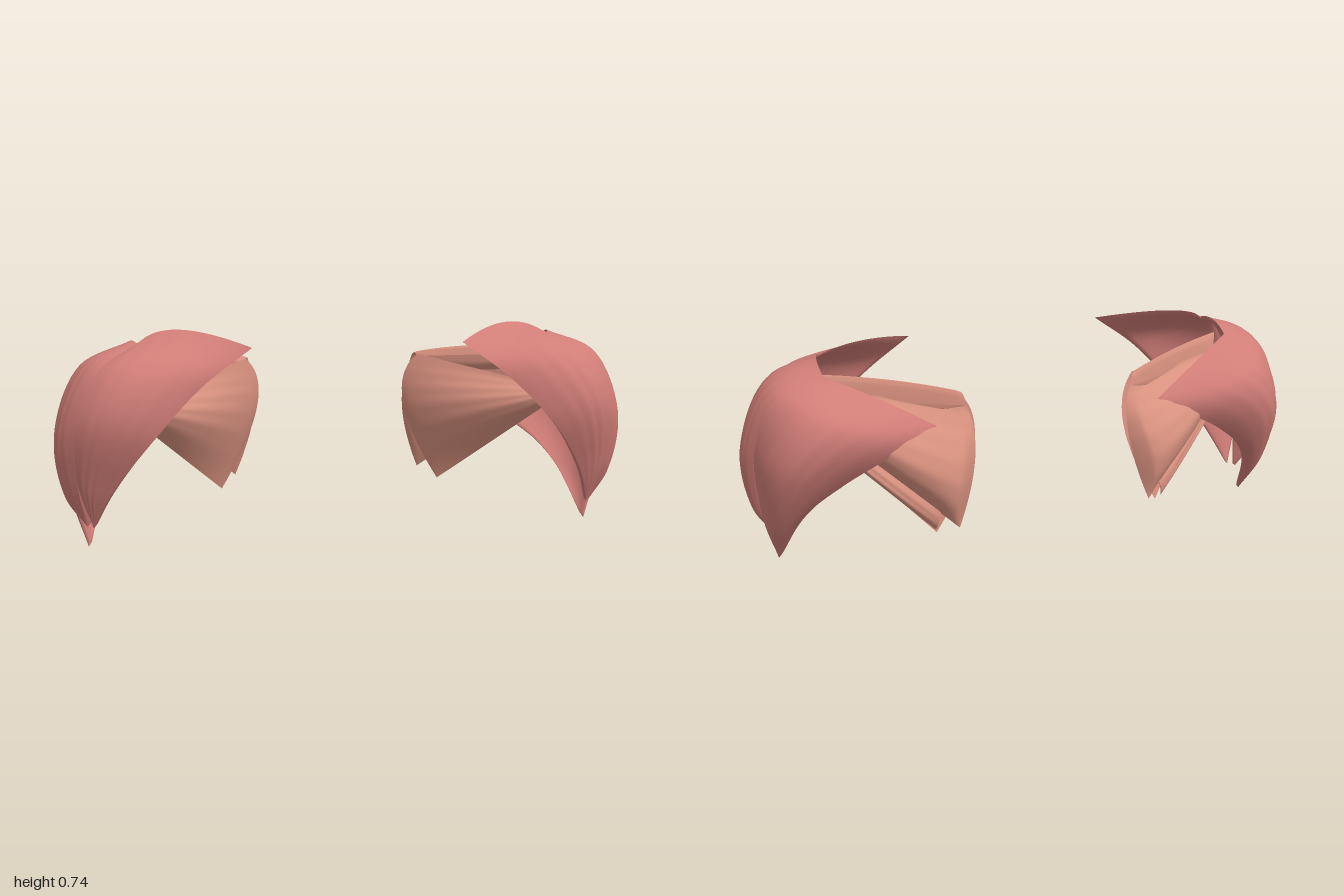
import * as THREE from 'three';

const red = new THREE.MeshStandardMaterial({ color: 0xd07d77, side: THREE.DoubleSide });
const pale = new THREE.MeshStandardMaterial({ color: 0xd8917f, side: THREE.DoubleSide });
const NU = 28, NT = 40;
const vec = (p) => new THREE.Vector3(...p);

// Ridge lines of the shoulder cap, front edge to rear edge; neighbouring heads share a seam.
const ridges = [
  [[.36, .69, .24], [.53, .565, .25], [.69, .4, .27], [.82, .22, .195]],
  [[.58, .737, .07], [.71, .63, .245], [.82, .47, .28], [.89, .23, .185]],
  [[.72, .695, .09], [.85, .625, .175], [.93, .46, .205], [.935, .25, .16]],
  [[.74, .7, .03], [.905, .627, .075], [1, .4, .09], [.975, .19, .09]],
  [[.74, .665, -.06], [.9, .6, -.057], [.97, .42, -.015], [.953, .2, .045]],
  [[.57, .59, -.145], [.75, .54, -.222], [.88, .4, -.19], [.93, .16, -.055]],
  [[.385, .49, -.212], [.56, .415, -.212], [.71, .32, -.165], [.83, .205, -.095]],
];
const capCore = vec([.6, .38, .03]);
const bladeFront = vec([-.5, 0, .85]), bladeBack = vec([.5, 0, -.85]);

// One sheet of vertices, wound so that it faces along "facing".
function sheet(pointAt, facing) {
  const pos = [], idx = [], w = NU + 1;
  for (let i = 0; i <= NT; i++)
    for (let j = 0; j <= NU; j++) pos.push(...pointAt(j / NU, i / NT).toArray());
  const c = pointAt(0.5, 0.5);
  const du = pointAt(0.55, 0.5).sub(c), dt = pointAt(0.5, 0.55).sub(c);
  const keep = du.cross(dt).dot(facing) > 0;
  for (let i = 0; i < NT; i++)
    for (let j = 0; j < NU; j++) {
      const p = i * w + j, q = p + 1, r = p + w, s = r + 1;
      if (keep) idx.push(p, q, r, q, s, r);
      else idx.push(p, r, q, q, r, s);
    }
  const g = new THREE.BufferGeometry();
  g.setAttribute('position', new THREE.Float32BufferAttribute(pos, 3));
  g.setIndex(idx);
  g.computeVertexNormals();
  return g;
}

// A muscle spans three paths: a rippled outer sheet and an inner sheet meet along the rim.
// "skew" moves the fullest point towards the origin (below 1) or the insertion (above 1).
function muscle(name, material, side, paths, outward, { thick, bulge = 0, skew = 1, fibres }) {
  const mirror = (v) => v.setX(v.x * side);
  const out = outward.clone().normalize();
  const belly = (t) => Math.sqrt(Math.max(0, Math.sin(Math.PI * t ** skew)));
  const middle = (u, t) => new THREE.Vector3()
    .addScaledVector(paths[0].getPoint(t), (1 - u) * (1 - 2 * u))
    .addScaledVector(paths[1].getPoint(t), 4 * u * (1 - u))
    .addScaledVector(paths[2].getPoint(t), u * (2 * u - 1));
  const outer = (u, t) => {
    const ripple = 0.0015 * Math.sin(Math.PI * u) * Math.sin(2 * Math.PI * fibres * u + 2 * t);
    return mirror(middle(u, t)
      .addScaledVector(out, belly(t) * (ripple + bulge * 6.75 * u * u * (1 - u))));
  };
  const inner = (u, t) =>
    mirror(middle(u, t).addScaledVector(out, -thick * belly(t) * Math.sqrt(4 * u * (1 - u))));

  const facing = mirror(out.clone());
  const outside = new THREE.Mesh(sheet(outer, facing), material);
  outside.name = 'outerSurface';
  const inside = new THREE.Mesh(sheet(inner, facing.clone().negate()), material);
  inside.name = 'innerSurface';
  const group = new THREE.Group();
  group.name = name;
  return group.add(outside, inside);
}

// Head of the shoulder cap: three ridges running down to a common tip.
function capHead(name, side, first, tip, shape) {
  const paths = ridges.slice(first, first + 3)
    .map((ridge) => new THREE.CatmullRomCurve3([...ridge, tip].map(vec)));
  return muscle(name, red, side, paths, paths[1].getPoint(0.5).sub(capCore), shape);
}

// Fan muscle: three origin points on the blade narrow to a small patch on the arm bone.
function fan(name, side, origin, insertion, outward, shape) {
  const centre = vec(origin[1]);
  const paths = origin.map((p) => new THREE.LineCurve3(
    vec(p), vec(insertion).addScaledVector(vec(p).sub(centre), shape.narrow)));
  return muscle(name, pale, side, paths, outward, shape);
}

export function createModel() {
  const model = new THREE.Group();
  model.name = 'shoulderMuscles';
  for (const side of [1, -1]) {
    const shoulder = new THREE.Group();
    shoulder.name = side > 0 ? 'leftShoulder' : 'rightShoulder';
    shoulder.add(
      capHead('frontShoulderHead', side, 0, [.885, .08, .115], { thick: .05, fibres: 5 }),
      capHead('middleShoulderHead', side, 2, [.905, .08, .088], { thick: .07, fibres: 6 }),
      capHead('rearShoulderHead', side, 4, [.902, 0, .052], { thick: .055, fibres: 6 }),
      fan('bladeFrontMuscle', side, [[.32, .6, -.17], [.275, .42, -.205], [.41, .12, -.2]],
        [.73, .48, .08], bladeFront, { thick: .03, bulge: .055, skew: 1.4, fibres: 6, narrow: .12 }),
      fan('bladeBackMuscle', side, [[.305, .57, -.19], [.28, .4, -.235], [.35, .155, -.268]],
        [.77, .57, 0], bladeBack, { thick: .02, bulge: .1, skew: .6, fibres: 6, narrow: .17 }),
      fan('bladeLowerEdgeMuscle', side, [[.4, .24, -.23], [.41, .18, -.24], [.42, .14, -.22]],
        [.78, .5, -.03], bladeBack, { thick: .04, bulge: .015, fibres: 3, narrow: .6 }),
      fan('bladeTopMuscle', side, [[.32, .59, -.175], [.31, .6, -.195], [.3, .56, -.212]],
        [.75, .64, .03], new THREE.Vector3(0, 1, 0), { thick: .07, bulge: .02, fibres: 4, narrow: 1.8 }),
    );
    model.add(shoulder);
  }
  return model;
}
